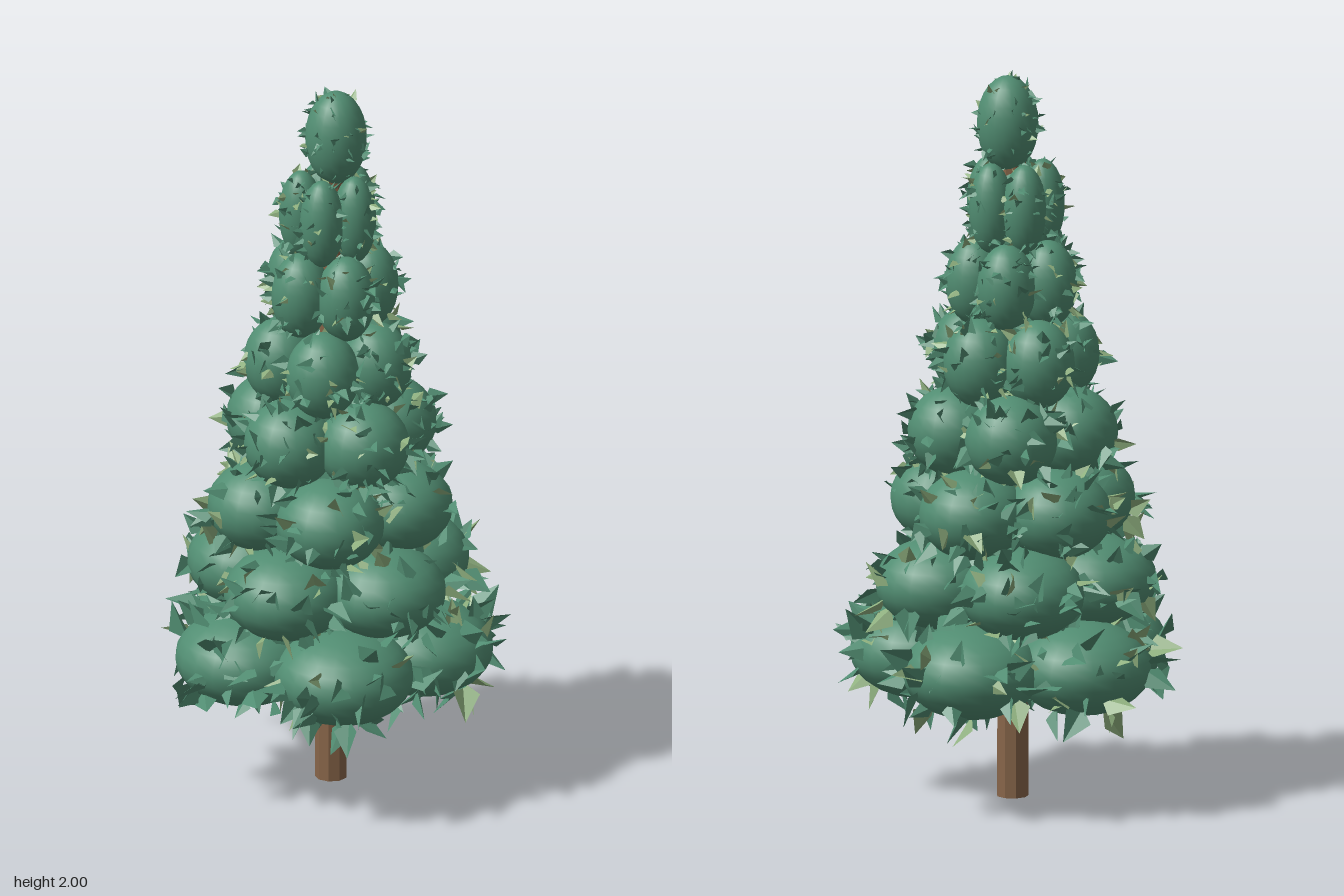
import * as THREE from 'three';
import { mergeGeometries } from 'three/addons/utils/BufferGeometryUtils.js';

// Small seeded generator
let seed = 7;
function rand(min = 0, max = 1) {
  seed = (seed * 16807) % 2147483647;
  return min + (max - min) * (seed / 2147483647);
}

// Tiers from the bottom: height, ring radius, puff half width, puff half height
const TIERS = [
  [0.395, 0.256, 0.19, 0.127],
  [0.61, 0.224, 0.17, 0.124],
  [0.815, 0.194, 0.148, 0.122],
  [1.022, 0.168, 0.126, 0.122],
  [1.222, 0.136, 0.1, 0.121],
  [1.43, 0.106, 0.08, 0.12],
  [1.64, 0.079, 0.06, 0.124],
];
const PUFFS = 5;
const TIER_TURN = 0.7;

const puffMaterial = new THREE.MeshStandardMaterial({ color: 0x518d72 });
const barkMaterial = new THREE.MeshStandardMaterial({ color: 0x876549, flatShading: true });
const leafMaterials = [0x518d72, 0x8fb07f].map(color =>
  new THREE.MeshStandardMaterial({ color, flatShading: true, side: THREE.DoubleSide }));

// Pointed leaf along +y, folded along its midrib
function leafGeometry() {
  const g = new THREE.BufferGeometry();
  g.setAttribute('position', new THREE.Float32BufferAttribute([
    0, 0, 0, 0.34, 0.32, 0.16, 0, 1, 0, -0.34, 0.32, 0.16], 3));
  g.setIndex([0, 1, 2, 0, 2, 3]);
  g.computeVertexNormals();
  return g;
}
const leaf = leafGeometry();
const UP = new THREE.Vector3(0, 1, 0);

// Scatter leaves over one ellipsoid, leaning away from its surface
function scatterLeaves(center, radii, count, length, buckets) {
  for (let i = 0; i < count; i++) {
    const y = rand(-0.95, 0.98), a = rand(0, Math.PI * 2), r = Math.sqrt(1 - y * y);
    const dir = new THREE.Vector3(Math.cos(a) * r, y, Math.sin(a) * r);
    const base = dir.clone().multiply(radii).multiplyScalar(0.9).add(center);
    const lean = dir.clone().divide(radii).normalize()
      .add(new THREE.Vector3(rand(-1, 1), rand(-1, 1), rand(-1, 1))).normalize();
    const turn = new THREE.Quaternion().setFromUnitVectors(UP, lean)
      .multiply(new THREE.Quaternion().setFromAxisAngle(UP, rand(0, Math.PI * 2)));
    const size = length * rand(0.65, 1.2);
    const matrix = new THREE.Matrix4().compose(base, turn, new THREE.Vector3(size, size, size));
    buckets[rand() < 0.25 ? 1 : 0].push(leaf.clone().applyMatrix4(matrix));
  }
}

export function createModel() {
  seed = 7;
  const tree = new THREE.Group();
  tree.name = 'conifer';
  const leaves = [[], []];
  const sphere = new THREE.SphereGeometry(1, 20, 14);

  // Trunk
  const trunk = new THREE.Mesh(new THREE.CylinderGeometry(0.036, 0.044, 1.8, 9), barkMaterial);
  trunk.position.set(0.003, 0.9, 0);
  trunk.name = 'trunk';
  tree.add(trunk);

  function addPuff(parent, name, center, radii, count, length) {
    const puff = new THREE.Mesh(sphere, puffMaterial);
    puff.position.copy(center);
    puff.scale.copy(radii);
    puff.name = name;
    parent.add(puff);
    scatterLeaves(center, radii, count, length, leaves);
  }

  // Rings of puffs, each turned a fixed step from the one below
  TIERS.forEach(([y, ring, width, height], t) => {
    const tier = new THREE.Group();
    tier.name = `foliageTier${t + 1}`;
    for (let i = 0; i < PUFFS; i++) {
      const a = i / PUFFS * Math.PI * 2 + t * TIER_TURN;
      addPuff(tier, `puff${i + 1}`,
        new THREE.Vector3(Math.cos(a) * ring, y, Math.sin(a) * ring),
        new THREE.Vector3(width, height, width), 55, 0.008 + width * 0.48);
    }
    tree.add(tier);
  });

  // Crown at the tip
  addPuff(tree, 'crown', new THREE.Vector3(0.016, 1.863, 0),
    new THREE.Vector3(0.084, 0.132, 0.084), 80, 0.034);

  // Leaves, merged by shade
  leaves.forEach((list, i) => {
    const mesh = new THREE.Mesh(mergeGeometries(list), leafMaterials[i]);
    mesh.name = i ? 'lightLeaves' : 'darkLeaves';
    tree.add(mesh);
  });

  return tree;
}
